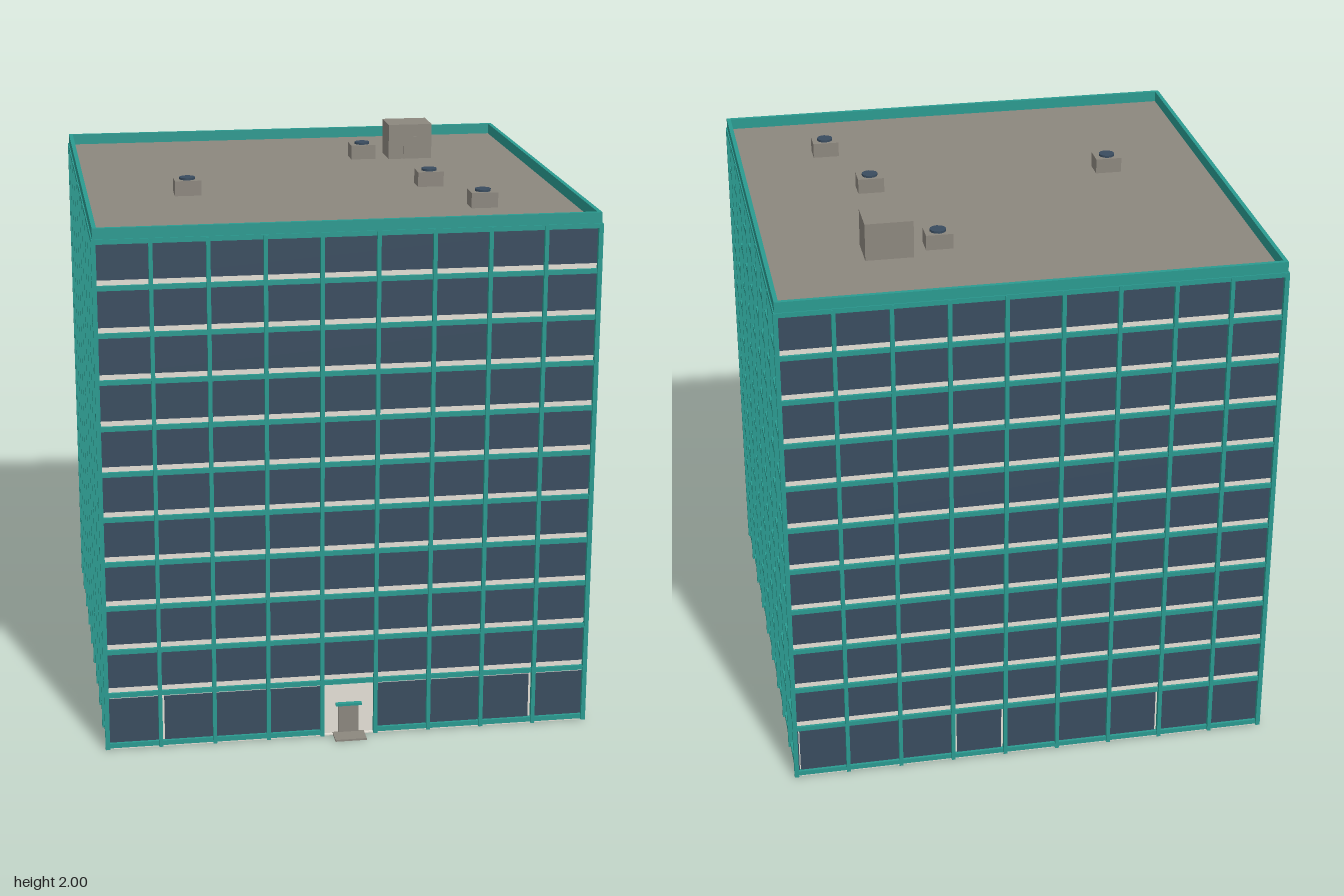
import * as THREE from 'three';

const mat = (name, color) => {
  const m = new THREE.MeshStandardMaterial({ color });
  m.name = name;
  return m;
};

export function createModel() {
  const teal = mat('teal frame', 0x2a9a90);
  const glass = mat('dark glass', 0x394c5f);
  const cream = mat('cream wall', 0xe4e0d6);
  const grey = mat('warm grey', 0x8c877e);

  const CZ = -0.025;     // centre of the tower in z
  const WALL = 0.861;    // half width of the wall core
  const FLOOR = 0.1655;  // storey height
  const BAY = 0.1947;    // window bay width
  const FIRST = 0.207;   // height of the first floor band
  const ROOF = 1.865;

  const model = new THREE.Group();
  model.name = 'officeTower';

  // Box given by its extents on each axis
  const box = (parent, name, material, [x0, x1], [y0, y1], [z0, z1]) => {
    const mesh = new THREE.Mesh(new THREE.BoxGeometry(x1 - x0, y1 - y0, z1 - z0), material);
    mesh.position.set((x0 + x1) / 2, (y0 + y1) / 2, (z0 + z1) / 2);
    mesh.name = name;
    parent.add(mesh);
    return mesh;
  };

  const tower = new THREE.Group();
  tower.name = 'tower';
  tower.position.z = CZ;
  model.add(tower);

  // Core, ground slab and roof deck
  box(tower, 'wallCore', cream, [-WALL, WALL], [0.004, 1.86], [-WALL, WALL]);
  box(tower, 'groundSlab', cream, [-0.873, 0.873], [0, 0.004], [-0.873, 0.873]);
  box(tower, 'roofDeck', grey, [-0.864, 0.864], [1.86, ROOF], [-0.864, 0.864]);

  // Square rings: a wider fascia below the parapet
  const square = (Kind, h) => new Kind([[-h, -h], [h, -h], [h, h], [-h, h]].map(([x, y]) => new THREE.Vector2(x, y)));
  const ring = (name, outer, inner, y0, y1) => {
    const shape = square(THREE.Shape, outer);
    shape.holes.push(square(THREE.Path, inner));
    const mesh = new THREE.Mesh(
      new THREE.ExtrudeGeometry(shape, { depth: y1 - y0, bevelEnabled: false }).rotateX(-Math.PI / 2), teal);
    mesh.position.y = y0;
    mesh.name = name;
    tower.add(mesh);
  };
  ring('roofFascia', 0.879, 0.862, 1.85, 1.867);
  ring('parapet', 0.875, 0.86, 1.86, 1.905);

  // One facade, facing its own +z
  const facade = (name, angle, groundPanes, hasEntrance) => {
    const side = new THREE.Group();
    side.name = name;
    side.rotation.y = angle;
    tower.add(side);

    for (let i = 0; i < 10; i++) {
      const y = FIRST + i * FLOOR;
      box(side, 'floorBand', teal, [-0.874, 0.874], [y - 0.008, y + 0.009], [WALL - 0.01, 0.874]);
      box(side, 'windowSill', cream, [-0.864, 0.864], [y + 0.009, y + 0.027], [WALL - 0.002, 0.864]);
      box(side, 'windowStrip', glass, [-0.864, 0.864], [y + 0.027, y + FLOOR - 0.008], [WALL - 0.002, 0.864]);
    }
    for (const span of groundPanes) {
      box(side, 'groundWindow', glass, span, [0.02, 0.191], [WALL - 0.002, 0.864]);
    }
    const baseSpans = hasEntrance ? [[-0.874, -0.095], [0.095, 0.874]] : [[-0.874, 0.874]];
    for (const span of baseSpans) {
      box(side, 'baseBand', teal, span, [0.004, 0.022], [WALL - 0.01, 0.874]);
    }
    for (let k = 1; k < 9; k++) {
      const x = (k - 4.5) * BAY;
      box(side, 'mullion', teal, [x - 0.007, x + 0.007], [0.001, 1.864], [WALL - 0.01, 0.881]);
    }
    return side;
  };

  const sidePanes = [[-0.855, -0.292], [-0.277, -0.111], [-0.097, 0.473], [0.487, 0.864]];
  const frontPanes = [[-0.864, -0.681], [-0.666, -0.1], [0.1, 0.666], [0.681, 0.864]];
  const front = facade('frontFacade', 0, frontPanes, true);
  facade('leftFacade', Math.PI / 2, sidePanes, false);
  facade('backFacade', Math.PI, sidePanes, false);
  facade('rightFacade', -Math.PI / 2, sidePanes, false);

  // Corner posts
  for (const sx of [-1, 1]) {
    for (const sz of [-1, 1]) {
      const post = box(tower, 'cornerPost', teal, [-0.008, 0.008], [0.001, 1.864], [-0.008, 0.008]);
      post.position.x = sx * 0.872;
      post.position.z = sz * 0.872;
    }
  }

  // Entrance
  box(front, 'door', grey, [-0.037, 0.037], [0.006, 0.114], [WALL - 0.002, 0.866]);
  box(front, 'doorCanopy', teal, [-0.047, 0.047], [0.114, 0.123], [WALL - 0.002, 0.878]);
  box(front, 'doorStep', grey, [-0.057, 0.057], [0, 0.007], [WALL, 0.93]);

  // Rooftop stair house with its door and hood
  const house = new THREE.Group();
  house.name = 'stairHouse';
  model.add(house);
  box(house, 'houseBody', grey, [0.352, 0.522], [ROOF, 2], [-0.533, -0.393]);
  box(house, 'houseDoor', grey, [0.412, 0.458], [ROOF, 1.945], [-0.394, -0.391]);
  box(house, 'houseHood', grey, [0.408, 0.462], [1.945, 1.951], [-0.394, -0.389]);

  // Rooftop fan units
  for (const [x, z] of [[-0.491, 0.147], [0.254, -0.445], [0.413, 0.113], [0.53, 0.505]]) {
    const unit = new THREE.Group();
    unit.name = 'fanUnit';
    unit.position.set(x, ROOF, z);
    model.add(unit);
    box(unit, 'unitBody', grey, [-0.048, 0.048], [0, 0.055], [-0.039, 0.039]);
    const fan = new THREE.Mesh(new THREE.CylinderGeometry(0.029, 0.029, 0.009, 12), glass);
    fan.position.y = 0.0585;
    fan.name = 'unitFan';
    unit.add(fan);
  }

  return model;
}
